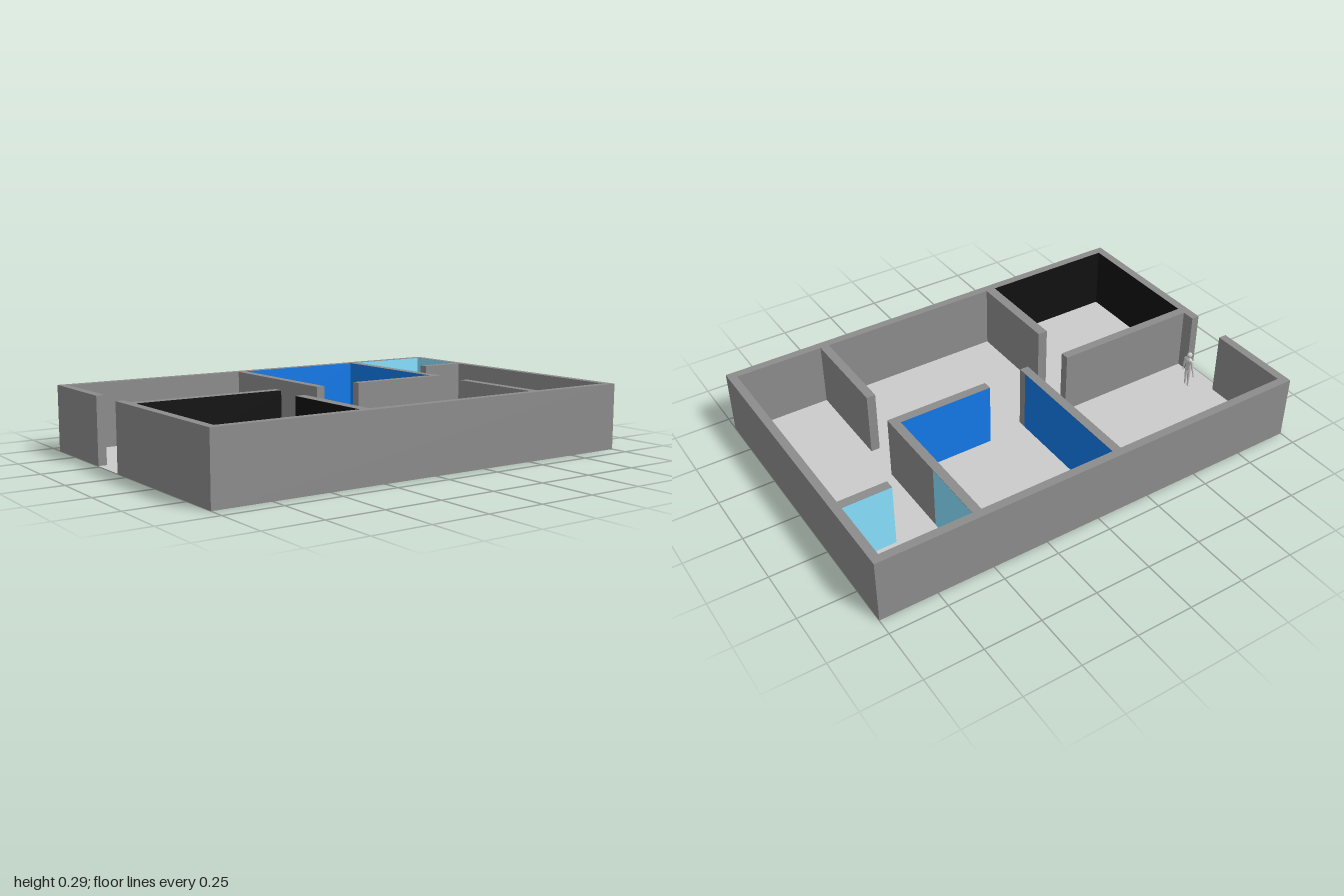
import * as THREE from 'three';

const H = 0.29;   // wall height
const X = 0.675;  // half width of the house
const T = 0.037;  // outer wall thickness
const IX = X - T, IZ = 1 - T;
const mat = (color) => new THREE.MeshStandardMaterial({ color });

function add(parent, name, geometry, material) {
  const mesh = new THREE.Mesh(geometry, material);
  mesh.name = name;
  parent.add(mesh);
  return mesh;
}

// Small standing person, made from tapered limbs
function createPerson() {
  const person = new THREE.Group();
  person.name = 'person';
  const skin = mat(0xcccccc);
  const limb = (name, a, b, ra, rb) => {
    const from = new THREE.Vector3(...a), to = new THREE.Vector3(...b);
    const dir = to.clone().sub(from);
    const m = add(person, name, new THREE.CylinderGeometry(rb, ra, dir.length(), 12), skin);
    m.position.copy(from).add(to).multiplyScalar(0.5);
    m.quaternion.setFromUnitVectors(new THREE.Vector3(0, 1, 0), dir.normalize());
  };
  const ball = (name, p, r, sx, sy, sz) => {
    const m = add(person, name, new THREE.SphereGeometry(r, 16, 12), skin);
    m.position.set(...p);
    m.scale.set(sx, sy, sz);
  };
  const profile = [[0, 0.082], [0.014, 0.085], [0.017, 0.094], [0.0145, 0.11], [0.018, 0.128],
    [0.022, 0.14], [0.019, 0.147], [0.007, 0.152], [0.006, 0.16]];
  const torso = add(person, 'torso', new THREE.LatheGeometry(
    profile.map(([r, y]) => new THREE.Vector2(r, y)), 20), skin);
  torso.scale.z = 0.55;
  ball('head', [0, 0.167, 0.001], 0.0135, 0.85, 1, 0.95);
  for (const s of [-1, 1]) {
    const side = s > 0 ? 'left' : 'right';
    ball(side + 'Shoulder', [s * 0.02, 0.14, 0], 0.007, 1, 1, 1);
    limb(side + 'UpperArm', [s * 0.021, 0.141, 0], [s * 0.028, 0.108, 0], 0.0065, 0.005);
    limb(side + 'Forearm', [s * 0.028, 0.109, 0], [s * 0.035, 0.078, 0.003], 0.005, 0.003);
    ball(side + 'Hand', [s * 0.0365, 0.071, 0.004], 0.008, 0.4, 1, 0.55);
    limb(side + 'Thigh', [s * 0.009, 0.092, 0], [s * 0.009, 0.046, 0], 0.0085, 0.006);
    limb(side + 'Shin', [s * 0.009, 0.047, 0], [s * 0.0095, 0.005, -0.001], 0.006, 0.0037);
    ball(side + 'Foot', [s * 0.01, 0.004, 0.004], 0.01, 0.5, 0.4, 1);
  }
  person.position.set(-0.17, 0.001, 0.885);
  return person;
}

export function createModel() {
  const model = new THREE.Group();
  model.name = 'house';

  // Floor
  const floor = add(model, 'floor', new THREE.PlaneGeometry(2 * X, 2),
    new THREE.MeshStandardMaterial({ color: 0xcccccc, side: THREE.DoubleSide }));
  floor.rotation.x = -Math.PI / 2;
  floor.position.y = 0.001;

  // Walls as plan rectangles: x0, x1, z0, z1
  const wallMat = mat(0x8c8c8c);
  const walls = {
    backWall: [-X, X, -1, -IZ],
    rightWall: [-X, -IX, -IZ, IZ],
    leftWall: [IX, X, -IZ, IZ],
    frontWallRight: [-X, -0.264, IZ, 1],
    frontWallLeft: [-0.08, X, IZ, 1],
    closetStub: [-0.35, -0.31, -IZ, -0.75],
    backPartitionRight: [-IX, 0.02, -0.57, -0.53],
    backPartitionLeft: [0.2, IX, -0.57, -0.53],
    bedroomSideWall: [-0.02, 0.02, -0.53, -0.1],
    middlePartition: [-IX, 0.02, 0.08, 0.12],
    entranceSideWall: [-0.02, 0.02, 0.3, IZ],
    frontPartition: [0.2, IX, 0.3, 0.345],
  };
  for (const [name, [x0, x1, z0, z1]] of Object.entries(walls)) {
    add(model, name, new THREE.BoxGeometry(x1 - x0, H, z1 - z0), wallMat)
      .position.set((x0 + x1) / 2, H / 2, (z0 + z1) / 2);
  }

  // Painted room faces: back, left, front, right runs as x0, z0, x1, z1
  const rooms = [
    ['bluePaint', 0x1379e8, [[-IX, -0.53, -0.02, -0.53], [-0.02, -0.53, -0.02, -0.1],
      [-0.02, 0.08, -IX, 0.08], [-IX, 0.08, -IX, -0.53]]],
    ['paleBluePaint', 0x87e0ff, [[-IX, -IZ, -0.35, -IZ], [-0.35, -IZ, -0.35, -0.75],
      [-0.35, -0.57, -IX, -0.57], [-IX, -0.57, -IX, -IZ]]],
    ['blackPaint', 0x111111, [[0.2, 0.345, IX, 0.345], [IX, 0.345, IX, IZ],
      [IX, IZ, 0.02, IZ], [0.02, IZ, 0.02, 0.3]]],
  ];
  for (const [name, color, runs] of rooms) {
    const paint = mat(color);
    for (const [x0, z0, x1, z1] of runs) {
      const angle = Math.atan2(z0 - z1, x1 - x0);
      const panel = add(model, name,
        new THREE.PlaneGeometry(Math.hypot(x1 - x0, z1 - z0), H - 0.001), paint);
      panel.rotation.y = angle;
      panel.position.set((x0 + x1) / 2 + 0.001 * Math.sin(angle), H / 2,
        (z0 + z1) / 2 + 0.001 * Math.cos(angle));
    }
  }

  model.add(createPerson());
  return model;
}
